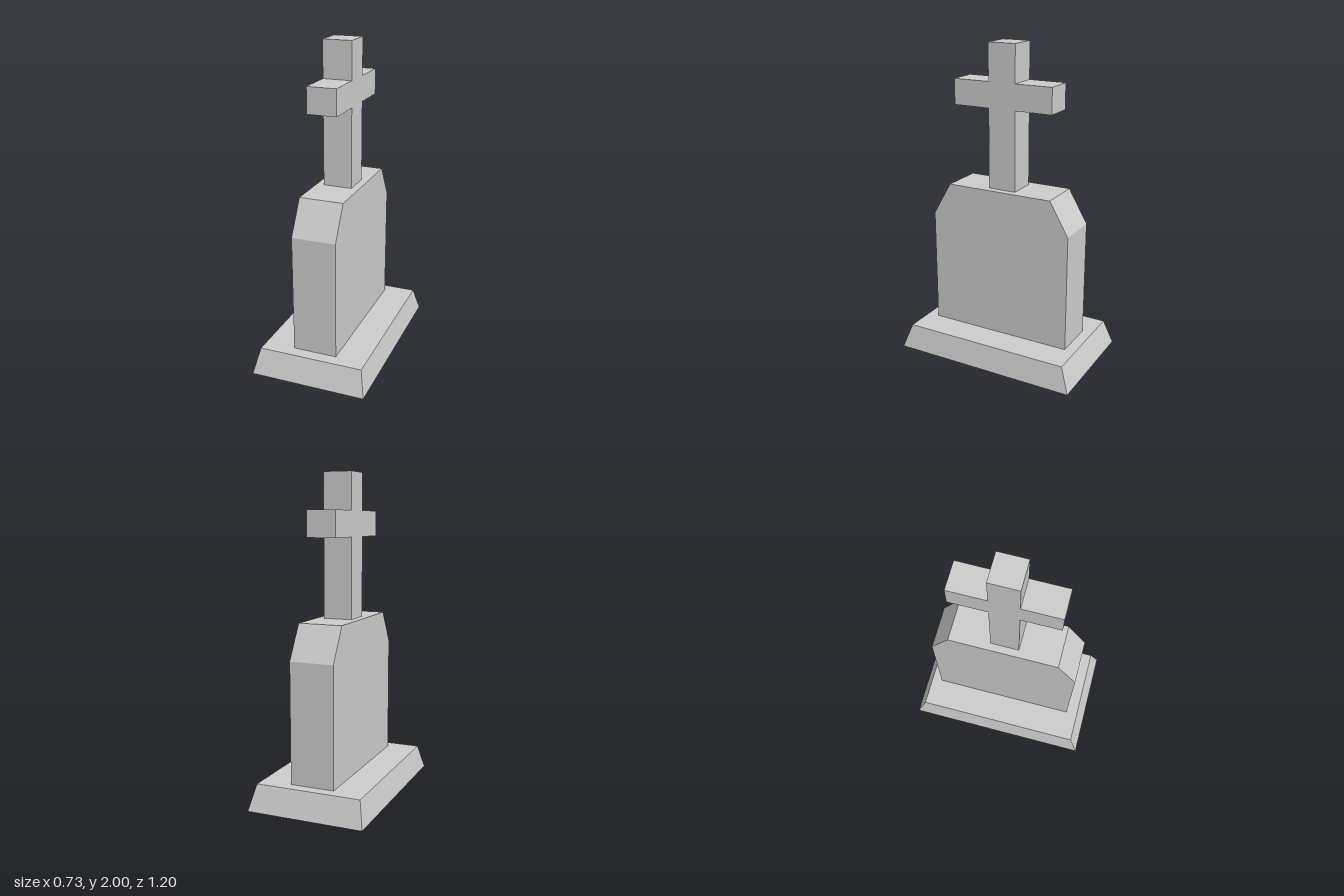
import * as THREE from 'three';

// Extrude a [z, y] outline to a given thickness, centred across x
function slab(name, outline, thickness, material) {
  const shape = new THREE.Shape(outline.map(([z, y]) => new THREE.Vector2(z, y)));
  const geometry = new THREE.ExtrudeGeometry(shape, { depth: thickness, bevelEnabled: false });
  geometry.translate(0, 0, -thickness / 2).rotateY(-Math.PI / 2);
  const mesh = new THREE.Mesh(geometry, material);
  mesh.name = name;
  return mesh;
}

// Complete a half outline by mirroring it across z = 0
function mirrored(half) {
  return [...half, ...half.map(([z, y]) => [-z, y]).reverse()];
}

export function createModel() {
  const group = new THREE.Group();
  group.name = 'gravestone';
  const stone = new THREE.MeshStandardMaterial({ color: 0xcccccc, flatShading: true });
  stone.name = 'grey stone';

  // Tapered plinth: a four-sided frustum
  const baseHeight = 0.157;
  const baseGeometry = new THREE.CylinderGeometry(0.905 * Math.SQRT2, Math.SQRT2, baseHeight, 4)
    .rotateY(Math.PI / 4)
    .scale(0.365, 1, 0.6)
    .translate(0, baseHeight / 2, 0);
  const base = new THREE.Mesh(baseGeometry, stone);
  base.name = 'base';

  // Headstone with sloped shoulders
  const headstone = slab('headstone', mirrored([
    [0.471, baseHeight], [0.471, 0.9], [0.349, 1.11],
  ]), 0.277, stone);

  // Cross standing on the headstone
  const cross = slab('cross', mirrored([
    [0.09, 1.11], [0.09, 1.61], [0.329, 1.61], [0.329, 1.77], [0.09, 1.77], [0.09, 2],
  ]), 0.182, stone);

  headstone.position.z = cross.position.z = -0.004;
  group.add(base, headstone, cross);
  return group;
}
